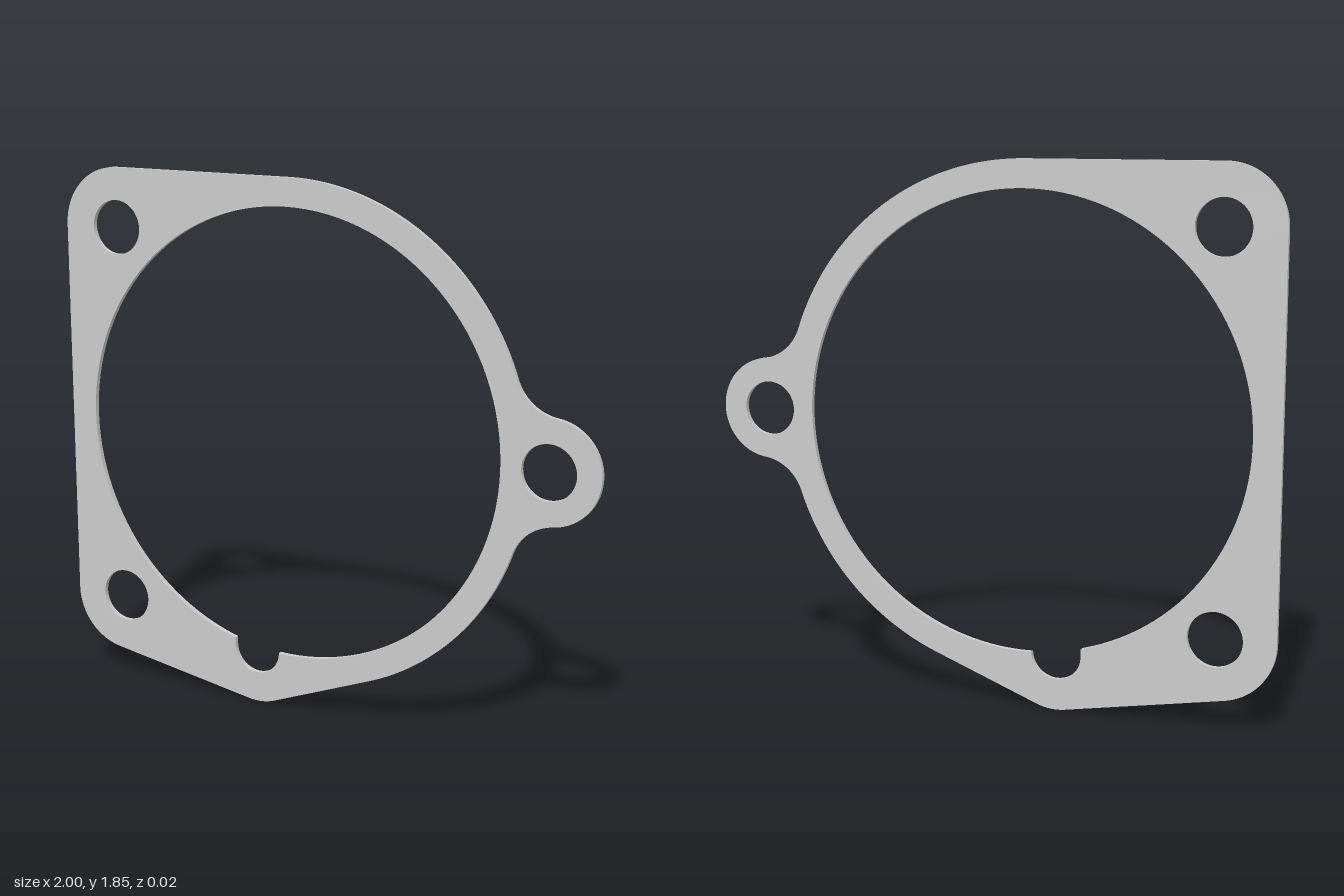
import * as THREE from 'three';
import { toCreasedNormals } from 'three/addons/utils/BufferGeometryUtils.js';

const THICKNESS = 0.018;
const BOLT_R = 0.094;
const BORE_R = 0.781;
const NOTCH_R = 0.088;

// Circles that the outer edge wraps around
const ring = { x: -0.123, y: 0.976, r: 0.877 };
const ear = { x: 0.823, y: 0.976, r: 0.177 };
const topCorner = { x: -0.794, y: 1.647, r: 0.206 };
const lowCorner = { x: -0.794, y: 0.307, r: 0.206 };
const bump = { x: -0.246, y: 0.198, r: 0.195 };

// Angle of the outward normal of the tangent line from circle a to b (counter-clockwise)
function tangentAngle(a, b) {
  const dx = b.x - a.x, dy = b.y - a.y;
  return Math.atan2(dy, dx) - Math.acos((a.r - b.r) / Math.hypot(dx, dy));
}

function arc(path, c, from, to, clockwise = false) {
  path.absarc(c.x, c.y, c.r, from, to, clockwise);
}

// Outer edge, counter-clockwise
function outline() {
  const shape = new THREE.Shape();
  const bumpToRing = tangentAngle(bump, ring);
  const cornerToBump = tangentAngle(lowCorner, bump);

  // Concave fillets between ring and ear
  const f = 0.168, d = ear.x - ring.x, a = ring.r + f, b = ear.r + f;
  const alpha = Math.acos((a * a + d * d - b * b) / (2 * a * d));
  const fx = ring.x + a * Math.cos(alpha), fy = a * Math.sin(alpha);
  const beta = Math.atan2(fy, ear.x - fx);

  arc(shape, ring, bumpToRing, -alpha);
  arc(shape, { x: fx, y: ring.y - fy, r: f }, Math.PI - alpha, beta, true);
  arc(shape, ear, beta - Math.PI, Math.PI - beta);
  arc(shape, { x: fx, y: ring.y + fy, r: f }, -beta, alpha - Math.PI, true);
  arc(shape, ring, alpha, Math.PI / 2);
  arc(shape, topCorner, Math.PI / 2, Math.PI);
  arc(shape, lowCorner, Math.PI, Math.PI * 2 + cornerToBump);
  arc(shape, bump, cornerToBump, bumpToRing);
  shape.closePath();
  return shape;
}

// Large bore with a round-bottomed notch in its lower edge
function boreWithNotch() {
  const hole = new THREE.Path();
  const right = Math.acos((bump.x + NOTCH_R - ring.x) / BORE_R);
  const left = Math.acos((bump.x - NOTCH_R - ring.x) / BORE_R);
  arc(hole, { ...ring, r: BORE_R }, -right, Math.PI / 2);
  arc(hole, { ...ring, r: BORE_R }, Math.PI / 2, Math.PI * 2 - left);
  arc(hole, { ...bump, r: NOTCH_R }, Math.PI, Math.PI * 2);
  hole.closePath();
  return hole;
}

function boltHole(c) {
  const hole = new THREE.Path();
  arc(hole, { ...c, r: BOLT_R }, 0, Math.PI * 2);
  return hole;
}

export function createModel() {
  const shape = outline();
  shape.holes.push(boreWithNotch(), ...[topCorner, lowCorner, ear].map(boltHole));

  const geometry = new THREE.ExtrudeGeometry(shape, {
    depth: THICKNESS, bevelEnabled: false, curveSegments: 32,
  });
  geometry.translate(0, 0, -THICKNESS / 2);

  const plate = new THREE.Mesh(
    toCreasedNormals(geometry, Math.PI / 6),
    new THREE.MeshStandardMaterial({ color: 0xcccccc }),
  );
  plate.name = 'gasketPlate';

  const model = new THREE.Group();
  model.name = 'gasket';
  model.add(plate);
  return model;
}
